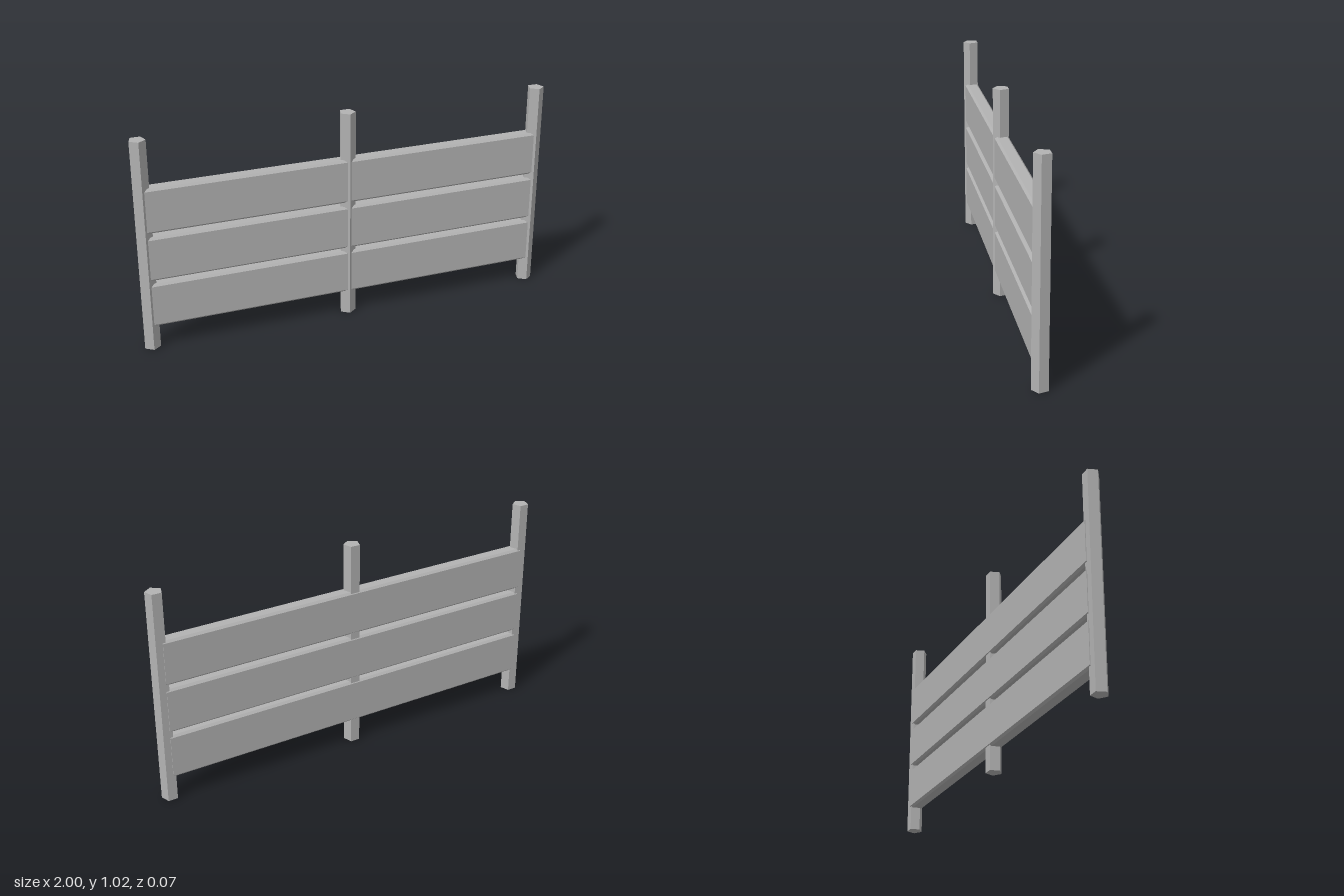
import * as THREE from 'three';

export function createModel() {
  const group = new THREE.Group();
  const grey = new THREE.MeshStandardMaterial({ color: 0xb2b2b2, flatShading: true });
  grey.name = 'plain grey';

  // Five-sided posts, one corner facing the front
  const postHeight = 1.023, postRadius = 0.039, postX = 0.963;
  const postGeometry = new THREE.CylinderGeometry(postRadius, postRadius, postHeight, 5);
  [['rightPost', -postX], ['middlePost', 0], ['leftPost', postX]].forEach(([name, x]) => {
    const post = new THREE.Mesh(postGeometry, grey);
    post.name = name;
    post.position.set(x, postHeight / 2, -0.002);
    group.add(post);
  });

  // Long boards with chamfered edges, running through all three posts
  const length = 1.908, h = 0.107, back = -0.0367, front = 0.03, c = 0.01;
  const profile = new THREE.Shape([
    [back, -h + c], [back + c, -h], [front - c, -h], [front, -h + c],
    [front, h - c], [front - c, h], [back + c, h], [back, h - c],
  ].map(([z, y]) => new THREE.Vector2(-z, y)));
  const boardGeometry = new THREE.ExtrudeGeometry(profile, { depth: length, bevelEnabled: false });
  boardGeometry.translate(0, 0, -length / 2).rotateY(Math.PI / 2);
  [['lowerBoard', 0.223], ['middleBoard', 0.455], ['upperBoard', 0.69]].forEach(([name, y]) => {
    const board = new THREE.Mesh(boardGeometry, grey);
    board.name = name;
    board.position.y = y;
    group.add(board);
  });

  return group;
}
